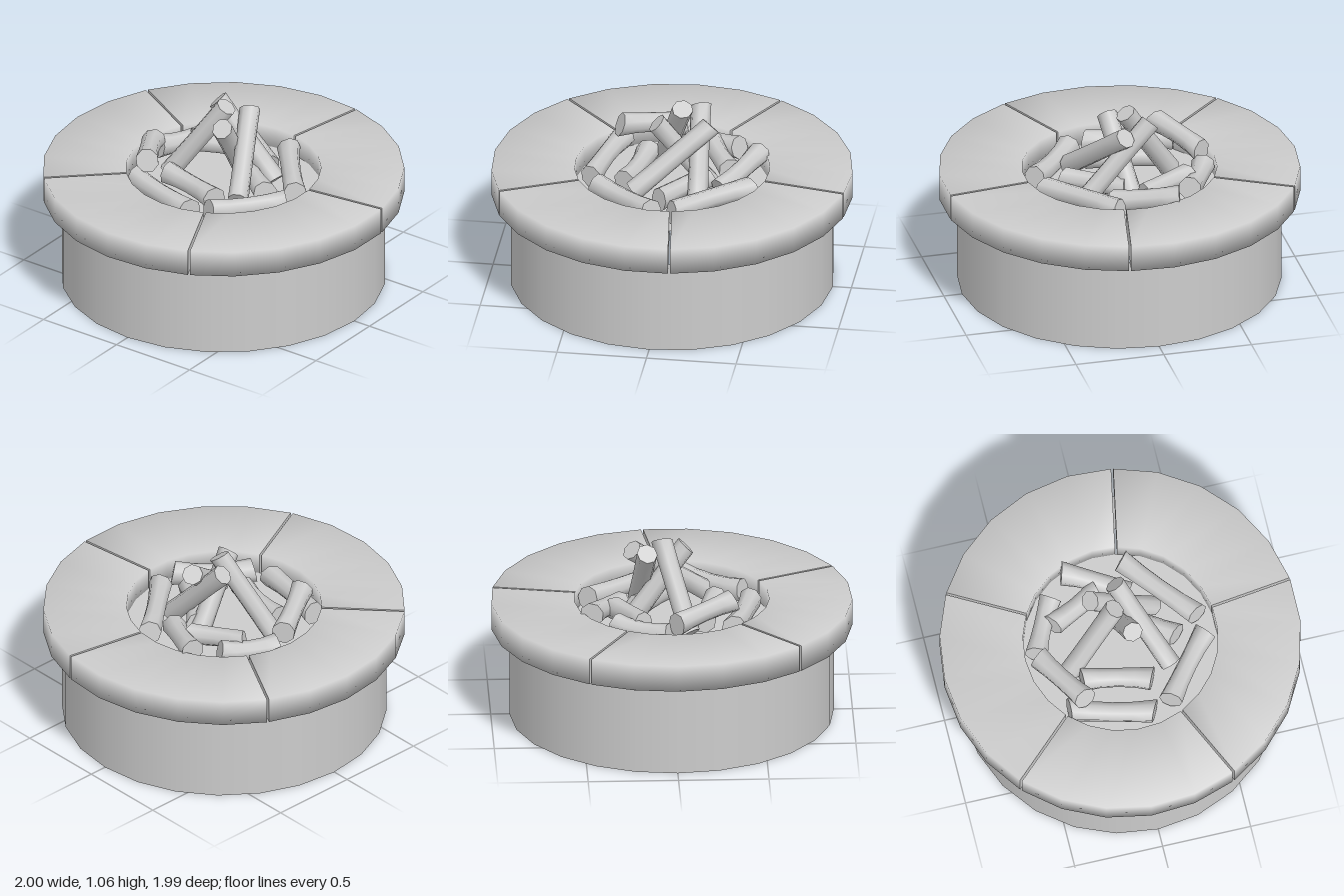
import * as THREE from 'three';
import { toCreasedNormals } from 'three/addons/utils/BufferGeometryUtils.js';

const material = new THREE.MeshStandardMaterial({ color: 0xcccccc });
const openMaterial = new THREE.MeshStandardMaterial({ color: 0xcccccc, side: THREE.DoubleSide });
const RAD = Math.PI / 180;

// One curved coping stone: a rectangular section swept through 72 degrees
function rimStoneGeometry(startDeg) {
  const section = [[0.54, 0.53], [1, 0.53], [1, 0.68], [0.54, 0.68]];
  const steps = 5, gap = 0.006;
  const pos = [], index = [];
  const point = (i, [r, y]) => {
    const inset = i === 0 ? gap / r : i === steps ? -gap / r : 0;
    const a = (startDeg + (72 * i) / steps) * RAD + inset;
    pos.push(r * Math.cos(a), y, r * Math.sin(a));
  };
  for (let i = 0; i <= steps; i++) section.forEach((p) => point(i, p));
  for (let i = 0; i < steps; i++) {
    for (let j = 0; j < 4; j++) {
      const a = i * 4 + j, b = i * 4 + ((j + 1) % 4);
      index.push(a, b, a + 4, b, b + 4, a + 4);
    }
  }
  // flat end faces beside the joints
  const n = pos.length / 3;
  section.forEach((p) => point(0, p));
  section.forEach((p) => point(steps, p));
  index.push(n, n + 2, n + 1, n, n + 3, n + 2);
  index.push(n + 4, n + 5, n + 6, n + 4, n + 6, n + 7);
  const geo = new THREE.BufferGeometry();
  geo.setAttribute('position', new THREE.Float32BufferAttribute(pos, 3));
  geo.setIndex(index);
  geo.computeVertexNormals();
  return geo;
}

// A log between two points; waist narrows the middle, bend bows it, slant tilts the cut ends
function makeLog(name, from, to, radius, { waist = 0, bend = 0, slant = 0, sides = 8 } = {}) {
  const a = new THREE.Vector3(...from), b = new THREE.Vector3(...to);
  const dir = b.clone().sub(a), length = dir.length();
  const geo = new THREE.CylinderGeometry(radius, radius, length, sides, 4);
  const p = geo.attributes.position;
  for (let i = 0; i < p.count; i++) {
    const x = p.getX(i), y = p.getY(i), z = p.getZ(i);
    const t = (2 * y) / length, mid = 1 - t * t;
    const k = 1 - waist * mid;
    p.setXYZ(i, x * k + bend * mid, y + slant * t * Math.abs(t) * x, z * k);
  }
  const mesh = new THREE.Mesh(toCreasedNormals(geo, 0.95), material);
  mesh.name = name;
  mesh.position.copy(a).add(b).multiplyScalar(0.5);
  mesh.quaternion.setFromUnitVectors(new THREE.Vector3(0, 1, 0), dir.normalize());
  return mesh;
}

export function createModel() {
  const model = new THREE.Group();
  model.name = 'firePit';

  // Open drum wall
  const wall = new THREE.Mesh(new THREE.CylinderGeometry(0.897, 0.897, 0.53, 24, 1, true), openMaterial);
  wall.name = 'drumWall';
  wall.position.y = 0.265;
  model.add(wall);

  // Rim of five stones
  const rim = new THREE.Group();
  rim.name = 'rim';
  for (let i = 0; i < 5; i++) {
    const stone = new THREE.Mesh(rimStoneGeometry(10.8 + 72 * i), material);
    stone.name = 'rimStone';
    rim.add(stone);
  }
  model.add(rim);

  // Fire bed
  const bed = new THREE.Mesh(new THREE.CircleGeometry(0.545, 25), openMaterial);
  bed.name = 'fireBed';
  bed.rotation.x = -Math.PI / 2;
  bed.position.y = 0.56;
  model.add(bed);

  // Logs lying around the edge of the bed
  const lying = [
    [[-0.44, 0.63, 0.09], [-0.33, 0.65, -0.37]],
    [[-0.25, 0.63, 0.12], [-0.17, 0.64, -0.26]],
    [[-0.33, 0.775, -0.28], [-0.01, 0.71, -0.47]],
    [[0.03, 0.65, -0.47], [0.33, 0.66, -0.32]],
    [[0.17, 0.67, -0.35], [0.32, 0.65, -0.06]],
    [[0.45, 0.68, -0.23], [0.28, 0.61, 0.1]],
    [[0.06, 0.63, 0.45], [0.46, 0.64, 0.11]],
    [[-0.4, 0.64, 0.19], [-0.05, 0.64, 0.47]],
    [[-0.03, 0.63, 0.31], [0.19, 0.63, 0.01]],
  ];
  lying.forEach(([from, to], i) => {
    const bend = i % 2 ? 0.01 : -0.01;
    model.add(makeLog('lyingLog', from, to, 0.066, { waist: 0.18, bend, slant: 0.25 }));
  });

  // Logs leaning together in the middle
  const leaning = [
    [[-0.19, 0.63, 0.24], [0.22, 0.96, 0.02]],
    [[0.175, 0.6, 0.23], [0.14, 1.0, -0.14]],
    [[0.2, 0.6, -0.02], [-0.08, 0.97, 0.05]],
    [[-0.09, 0.59, -0.31], [0.055, 1.03, -0.02]],
  ];
  leaning.forEach(([from, to]) => {
    model.add(makeLog('leaningLog', from, to, 0.058, { waist: 0.05, slant: 0.15 }));
  });

  return model;
}
